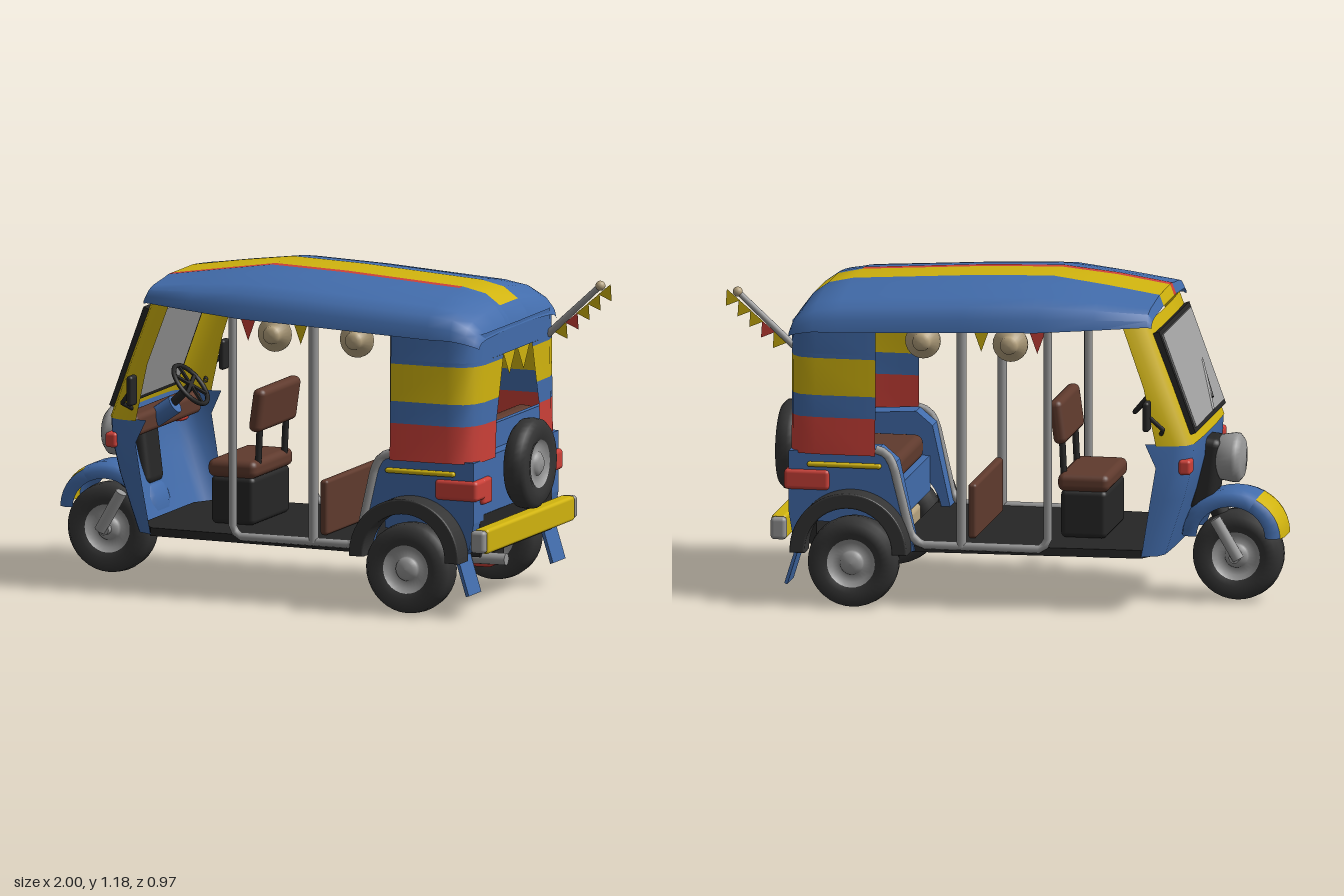
import * as THREE from 'three';
import { toCreasedNormals } from 'three/addons/utils/BufferGeometryUtils.js';
import { RoundedBoxGeometry } from 'three/addons/geometries/RoundedBoxGeometry.js';

const mat = (name, color) => new THREE.MeshStandardMaterial({ name, color, side: THREE.DoubleSide });
const V = (x, y, z) => new THREE.Vector3(x, y, z);

export function createModel() {
  const root = new THREE.Group();
  root.name = 'autoRickshaw';
  const blue = mat('blue paint', 0x426cab), yellow = mat('yellow paint', 0xd0b30e), red = mat('red paint', 0xcb4038);
  const black = mat('black plastic', 0x262626), tyre = mat('tyre rubber', 0x343434), metal = mat('grey metal', 0x969696);
  const brown = mat('brown leather', 0x5f3a2d), cream = mat('cream straw', 0xb6a37f), glass = mat('window glass', 0xa2a2a2);

  const add = (name, geo, m, parent = root) => {
    const mesh = new THREE.Mesh(geo, m);
    mesh.name = name;
    parent.add(mesh);
    return mesh;
  };
  // Box given by its min/max on each axis, with softened edges when r > 0
  const box = (name, m, [x0, x1], [y0, y1], [z0, z1], r = 0) => {
    const s = [x1 - x0, y1 - y0, z1 - z0];
    const g = r ? new RoundedBoxGeometry(...s, 3, r) : new THREE.BoxGeometry(...s);
    const mesh = add(name, g, m);
    mesh.position.set((x0 + x1) / 2, (y0 + y1) / 2, (z0 + z1) / 2);
    return mesh;
  };
  const rod = (name, m, a, b, r, r2 = r) => {
    const mesh = add(name, new THREE.CylinderGeometry(r2, r, a.distanceTo(b), 12), m);
    mesh.position.copy(a).lerp(b, 0.5);
    mesh.quaternion.setFromUnitVectors(V(0, 1, 0), b.clone().sub(a).normalize());
    return mesh;
  };
  const pipe = (name, m, pts, r) => {
    const path = new THREE.CurvePath();
    pts.slice(1).forEach((p, i) => path.add(new THREE.LineCurve3(pts[i], p)));
    return add(name, new THREE.TubeGeometry(path, 60, r, 8), m);
  };
  // Skin over rows of points
  const skin = (name, m, rows, crease = 0.7) => {
    const n = rows[0].length, idx = [];
    for (let i = 0; i < rows.length - 1; i++) for (let j = 0; j < n - 1; j++) {
      const a = i * n + j;
      idx.push(a, a + 1, a + n, a + 1, a + n + 1, a + n);
    }
    const g = new THREE.BufferGeometry().setFromPoints(rows.flat());
    g.setIndex(idx);
    g.computeVertexNormals();
    return add(name, toCreasedNormals(g, crease), m);
  };
  const flag = (name, m, a, b, c) => {
    const g = new THREE.BufferGeometry().setFromPoints([a, b, c]);
    g.computeVertexNormals();
    return add(name, g, m);
  };

  // Wheels: tyre, dished rim and hub, axis along local y
  const wheel = (name, x, y, z, w, axis) => {
    const g = new THREE.Group(), h = w / 2, R = 0.165;
    g.name = name;
    const profile = [[0.085, -h * 0.8], [0.11, -h], [0.145, -h * 0.95], [R - 0.004, -h * 0.6], [R, 0],
      [R - 0.004, h * 0.6], [0.145, h * 0.95], [0.11, h], [0.085, h * 0.8]].map(p => new THREE.Vector2(...p));
    add('tyre', new THREE.LatheGeometry(profile, 36), tyre, g);
    const rim = [[0, h * 1.02], [0.028, h * 0.98], [0.042, h * 0.75], [0.046, h * 0.55], [0.072, h * 0.6], [0.088, h * 0.88]];
    for (const s of [1, -1])
      add('rim', new THREE.LatheGeometry(rim.map(([r, a]) => new THREE.Vector2(r, a * s)), 28), metal, g);
    g.rotation[axis === 'z' ? 'x' : 'z'] = Math.PI / 2;
    g.position.set(x, y, z);
    root.add(g);
  };
  wheel('frontWheel', -0.82, 0.168, 0, 0.125, 'z');
  wheel('spareWheel', 0.805, 0.505, 0, 0.09, 'x');
  for (const s of [1, -1]) wheel('rearWheel', 0.51, 0.168, s * 0.395, 0.125, 'z');

  // Roof: section across z at each station along x, cut into coloured strips
  const half = [[1, 0], [0.985, 0.3], [0.93, 0.58], [0.8, 0.75], [0.5, 0.9]];
  const stations = [[-0.565, 0.325, 1.045, 1.085], [-0.55, 0.335, 1.05, 1.125], [-0.36, 0.375, 1.04, 1.155],
    [-0.16, 0.412, 1.03, 1.182], [0.12, 0.41, 1.02, 1.173], [0.57, 0.402, 1.0, 1.145], [0.66, 0.4, 1.0, 1.125],
    [0.715, 0.39, 0.99, 1.085], [0.745, 0.375, 0.98, 1.045], [0.758, 0.355, 0.97, 1.005]];
  const roof = stations.map(([x, w, b, t]) => {
    const k = x < -0.3 ? 0.03 : 0;
    const side = s => half.map(([u, h]) => V(x, b + (t - b) * h, s * u * w));
    const mid = [-0.1, 0.065 + k, 0.1 + k].map(z => V(x, b + (t - b) * 0.985, z));
    return [...side(-1), ...mid, ...side(1).reverse()];
  });
  const cut = (a, b, r0 = 0, r1 = 99) => roof.slice(r0, r1).map(r => r.slice(a, b + 1));
  skin('roofRightSide', blue, cut(0, 5), 0.9);
  skin('roofYellowStripe', yellow, cut(5, 6, 0, 8), 0.9);
  skin('roofStripeEnd', blue, cut(5, 6, 7), 0.9);
  skin('roofRedStripe', red, cut(6, 7, 0, 6), 0.9);
  skin('roofRedStripeEnd', blue, cut(6, 7, 5), 0.9);
  skin('roofLeftSide', blue, cut(7, 12), 0.9);

  // Rear canopy: coloured bands on both sides of the back opening
  const bands = [[1.02, 0.92, 0, 0, blue], [0.92, 0.905, 0.13, 0.135, blue], [0.905, 0.77, 0.135, 0.172, yellow],
    [0.77, 0.69, 0.172, 0.195, blue], [0.69, 0.555, 0.195, 0.205, red]];
  for (const s of [1, -1]) for (const [y0, y1, e0, e1, m] of bands) {
    const row = (y, e) => {
      const w = 0.395 + (1 - y) * 0.028;
      return [[0.43, w], [0.65, w], [0.71, w - 0.012], [0.74, w - 0.045], [0.755, w - 0.1], [0.757, e]].map(([x, z]) => V(x, y, s * z));
    };
    skin('canopyBand', m, [row(y0, e0), row(y1, e1)]);
  }
  for (const z of [0.065, -0.065])
    flag('backPennant', yellow, V(0.752, 0.925, z - 0.06), V(0.752, 0.925, z + 0.06), V(0.752, 0.835, z));

  // Lower rear body with wheel arches
  const bodySide = new THREE.Shape();
  bodySide.moveTo(0.29, 0.21);
  bodySide.lineTo(0.335, 0.21);
  bodySide.absarc(0.51, 0.2, 0.185, Math.PI, 0, true);
  bodySide.lineTo(0.735, 0.25);
  [[0.75, 0.34], [0.75, 0.56], [0.42, 0.58], [0.36, 0.53]].forEach(p => bodySide.lineTo(...p));
  const archShape = new THREE.Shape();
  archShape.absarc(0.515, 0.215, 0.208, -0.02, Math.PI, false);
  archShape.absarc(0.515, 0.215, 0.165, Math.PI, -0.02, true);
  for (const s of [1, -1]) {
    const panel = new THREE.ExtrudeGeometry(bodySide, { depth: 0.09, bevelEnabled: false, curveSegments: 24 });
    add('bodySide', panel, blue).position.z = s > 0 ? 0.3 : -0.39;
    const arch = new THREE.ExtrudeGeometry(archShape, { depth: 0.085, bevelEnabled: true, bevelSize: 0.006, bevelThickness: 0.006, curveSegments: 24 });
    add('wheelArch', arch, tyre).position.z = s > 0 ? 0.392 : -0.477;
    const zs = (a, b) => s > 0 ? [a, b] : [-b, -a];
    box('sideTrim', yellow, [0.41, 0.68], [0.507, 0.525], zs(0.385, 0.408), 0.008);
    box('tailLight', red, [0.6, 0.767], [0.42, 0.495], zs(0.3, 0.4), 0.015);
    box('tailLightInner', red, [0.73, 0.767], [0.4, 0.495], zs(0.25, 0.33), 0.012);
    box('bumperEnd', metal, [0.752, 0.81], [0.24, 0.322], zs(0.395, 0.432), 0.015);
    box('mudFlap', blue, [0.715, 0.727], [0.08, 0.27], zs(0.33, 0.445)).rotation.z = 0.3;
  }
  box('backPanel', blue, [0.69, 0.748], [0.36, 0.565], [-0.31, 0.31]);
  box('backSill', black, [0.66, 0.75], [0.21, 0.36], [-0.33, 0.33]);
  box('upperBackPanel', blue, [0.68, 0.7], [0.55, 0.655], [-0.38, 0.38]);
  box('rearTub', blue, [0.37, 0.72], [0.29, 0.42], [-0.31, 0.31]);
  box('bumper', yellow, [0.757, 0.812], [0.235, 0.325], [-0.4, 0.4], 0.012);
  rod('spareMount', metal, V(0.74, 0.505, 0), V(0.8, 0.505, 0), 0.05);

  // Axle, drive unit and exhaust
  rod('rearAxle', metal, V(0.51, 0.175, -0.36), V(0.51, 0.175, 0.36), 0.032);
  box('driveUnit', red, [0.5, 0.68], [0.125, 0.215], [-0.065, 0.065], 0.015);
  box('driveGrille', black, [0.678, 0.685], [0.15, 0.195], [-0.045, 0.045]);
  box('engineBlock', cream, [0.36, 0.5], [0.15, 0.29], [-0.1, 0.1], 0.02);
  rod('exhaustPipe', metal, V(0.45, 0.2, 0.3), V(0.84, 0.204, 0.3), 0.022);

  // Floor
  const floorShape = new THREE.Shape([[-0.6, -0.22], [-0.53, -0.34], [0.36, -0.38], [0.36, 0.38], [-0.53, 0.34], [-0.6, 0.22]].map(p => new THREE.Vector2(...p)));
  const floor = add('floor', new THREE.ExtrudeGeometry(floorShape, { depth: 0.03, bevelEnabled: false }), black);
  floor.rotation.x = -Math.PI / 2;
  floor.position.y = 0.205;

  // Seats
  box('driverSeatBase', black, [-0.37, -0.2], [0.235, 0.41], [-0.17, 0.17], 0.02);
  box('driverSeat', brown, [-0.38, -0.19], [0.405, 0.47], [-0.18, 0.18], 0.025);
  box('driverBackrest', brown, [-0.215, -0.165], [0.575, 0.735], [-0.175, 0.175], 0.022).rotation.z = -0.14;
  for (const z of [0.12, -0.12]) rod('backrestPost', black, V(-0.205, 0.43, z), V(-0.195, 0.64, z), 0.012);
  box('kneePanel', brown, [0.09, 0.122], [0.235, 0.435], [-0.25, 0.25], 0.012);
  box('benchCushion', brown, [0.39, 0.64], [0.41, 0.5], [-0.3, 0.3], 0.03);
  box('benchBackrest', brown, [0.6, 0.68], [0.45, 0.655], [-0.36, 0.36], 0.03);

  // Side frame tubes and hanging hats
  for (const s of [1, -1]) {
    const z = s * 0.375;
    pipe('sideFrame', metal, [V(-0.195, 1.05, z), V(-0.195, 0.26, z), V(-0.17, 0.232, z), V(0.27, 0.232, z), V(0.305, 0.27, s * 0.385),
      V(0.365, 0.52, s * 0.392), V(0.39, 0.565, s * 0.392), V(0.43, 0.578, s * 0.392)], 0.016);
    rod('sidePost', metal, V(0.12, 0.23, z), V(0.12, 1.05, z), 0.018);
    for (const x of [-0.05, 0.27]) {
      const hat = [[0.064, -0.006], [0.064, 0.006], [0.036, 0.01], [0.032, 0.035], [0.018, 0.044], [0, 0.045]].map(p => new THREE.Vector2(...p));
      const h = add('strawHat', new THREE.LatheGeometry(hat, 24), cream);
      h.rotation.x = s * Math.PI / 2;
      h.position.set(x, 0.97, s * 0.33);
    }
    [[-0.15, red], [0.055, yellow]].forEach(([x, m]) =>
      flag('sidePennant', m, V(x - 0.04, 1.05, s * 0.34), V(x + 0.04, 1.05, s * 0.34), V(x, 0.94, s * 0.34)));
  }

  // Front cowl and windscreen surround: U-shaped sections
  const uRow = (y, xf, xb, w) => {
    const h = [[xb, w], [xf + 0.06, w * 0.97], [xf + 0.02, w * 0.91], [xf, w * 0.8], [xf - 0.006, 0.1]];
    return [...h.map(([x, z]) => V(x, y, -z)), ...h.reverse().map(([x, z]) => V(x, y, z))];
  };
  skin('frontCowl', blue, [uRow(0.625, -0.71, -0.545, 0.345), uRow(0.54, -0.705, -0.585, 0.35), uRow(0.42, -0.675, -0.565, 0.35), uRow(0.21, -0.605, -0.53, 0.34)], 0.9);
  skin('windscreenSurround', yellow, [uRow(0.62, -0.712, -0.585, 0.347), uRow(0.83, -0.635, -0.54, 0.347), uRow(1.065, -0.55, -0.455, 0.335)], 0.9);
  box('dashboard', brown, [-0.68, -0.6], [0.55, 0.63], [-0.3, 0.3], 0.02);
  const screen = new THREE.Group();
  screen.name = 'windscreen';
  screen.position.set(-0.636, 0.838, 0);
  screen.rotation.z = -0.35;
  root.add(screen);
  add('screenSeal', new THREE.BoxGeometry(0.03, 0.39, 0.56), black, screen);
  add('screenGlass', new THREE.BoxGeometry(0.042, 0.355, 0.515), glass, screen);
  rod('wiperArm', metal, V(-0.715, 0.68, 0.05), V(-0.655, 0.84, 0.15), 0.007);
  rod('wiperBlade', black, V(-0.705, 0.72, 0.08), V(-0.6, 0.95, 0.22), 0.008);

  // Steering
  const steer = new THREE.Group();
  steer.name = 'steeringWheel';
  steer.position.set(-0.48, 0.72, 0.09);
  steer.rotation.set(-Math.PI / 2, 0.86, 0, 'ZYX');
  steer.quaternion.setFromUnitVectors(V(0, 0, 1), V(0.76, 0.65, 0).normalize());
  root.add(steer);
  add('steeringRim', new THREE.TorusGeometry(0.085, 0.009, 8, 32), black, steer);
  for (let i = 0; i < 3; i++) add('steeringSpoke', new THREE.BoxGeometry(0.165, 0.014, 0.008), black, steer).rotation.z = i * Math.PI / 3;
  rod('steeringColumn', black, V(-0.6, 0.6, 0.09), V(-0.48, 0.715, 0.09), 0.016);
  rod('columnShroud', blue, V(-0.62, 0.59, 0.09), V(-0.54, 0.645, 0.09), 0.035);

  // Mirrors and indicators
  for (const s of [1, -1]) {
    pipe('mirrorArm', black, [V(-0.6, 0.66, s * 0.33), V(-0.62, 0.69, s * 0.39), V(-0.575, 0.74, s * 0.42)], 0.008);
    const z = s * 0.425;
    box('mirror', black, [-0.58, -0.555], [0.69, 0.8], [z - 0.028, z + 0.028], 0.011);
    box('indicator', red, [-0.71, -0.665], [0.515, 0.57], [s * 0.305 - 0.035, s * 0.305 + 0.035], 0.012);
  }

  // Nose, headlight and fork
  box('noseTrim', black, [-0.755, -0.66], [0.33, 0.6], [-0.075, 0.075], 0.03).rotation.z = 0.12;
  const lamp = [[0, -0.05], [0.05, -0.045], [0.082, -0.02], [0.09, 0.03], [0.088, 0.045], [0.07, 0.06], [0, 0.07]].map(p => new THREE.Vector2(...p));
  const head = add('headlight', new THREE.LatheGeometry(lamp, 28), metal);
  head.rotation.z = Math.PI / 2;
  head.position.set(-0.778, 0.52, 0);
  rod('steeringStem', black, V(-0.76, 0.3, 0), V(-0.69, 0.46, 0), 0.035);
  for (const s of [1, -1]) rod('forkLeg', metal, V(-0.835, 0.165, s * 0.085), V(-0.75, 0.31, s * 0.09), 0.022);
  rod('frontAxle', metal, V(-0.82, 0.168, -0.09), V(-0.82, 0.168, 0.09), 0.02);

  // Front mudguard: rounded sections swept over the wheel
  const guard = [];
  for (let i = 0; i <= 18; i++) {
    const a = i * Math.PI / 18, c = Math.cos(a), d = Math.sin(a);
    guard.push([[-0.1, 0.66], [-0.104, 0.82], [-0.088, 0.94], [-0.05, 0.99], [0.05, 0.99], [0.088, 0.94], [0.104, 0.82], [0.1, 0.66]]
      .map(([z, k]) => V(-0.81 + 0.19 * c * k, 0.245 + 0.17 * d * k, z)));
  }
  skin('mudguardRear', blue, guard.slice(0, 13), 0.9);
  const front = guard.slice(12);
  skin('mudguardRightEdge', blue, front.map(r => r.slice(0, 3)), 0.9);
  skin('mudguardPatch', yellow, front.map(r => r.slice(2, 6)), 0.9);
  skin('mudguardLeftEdge', blue, front.map(r => r.slice(5)), 0.9);

  // Rear flagpole with pennants
  const p0 = V(0.75, 0.925, -0.292), p1 = V(0.955, 1.115, -0.292);
  rod('flagPole', metal, p0, p1, 0.013, 0.011);
  add('poleKnob', new THREE.SphereGeometry(0.018, 16, 12), cream).position.copy(p1);
  for (let i = 0; i < 5; i++) {
    const a = V(0.775 + i * 0.043, 0.935 + i * 0.037, -0.292);
    flag('polePennant', i === 1 ? red : yellow, a, a.clone().add(V(0.048, 0.04, 0)), a.clone().add(V(0.052, -0.022, 0)));
  }
  return root;
}
